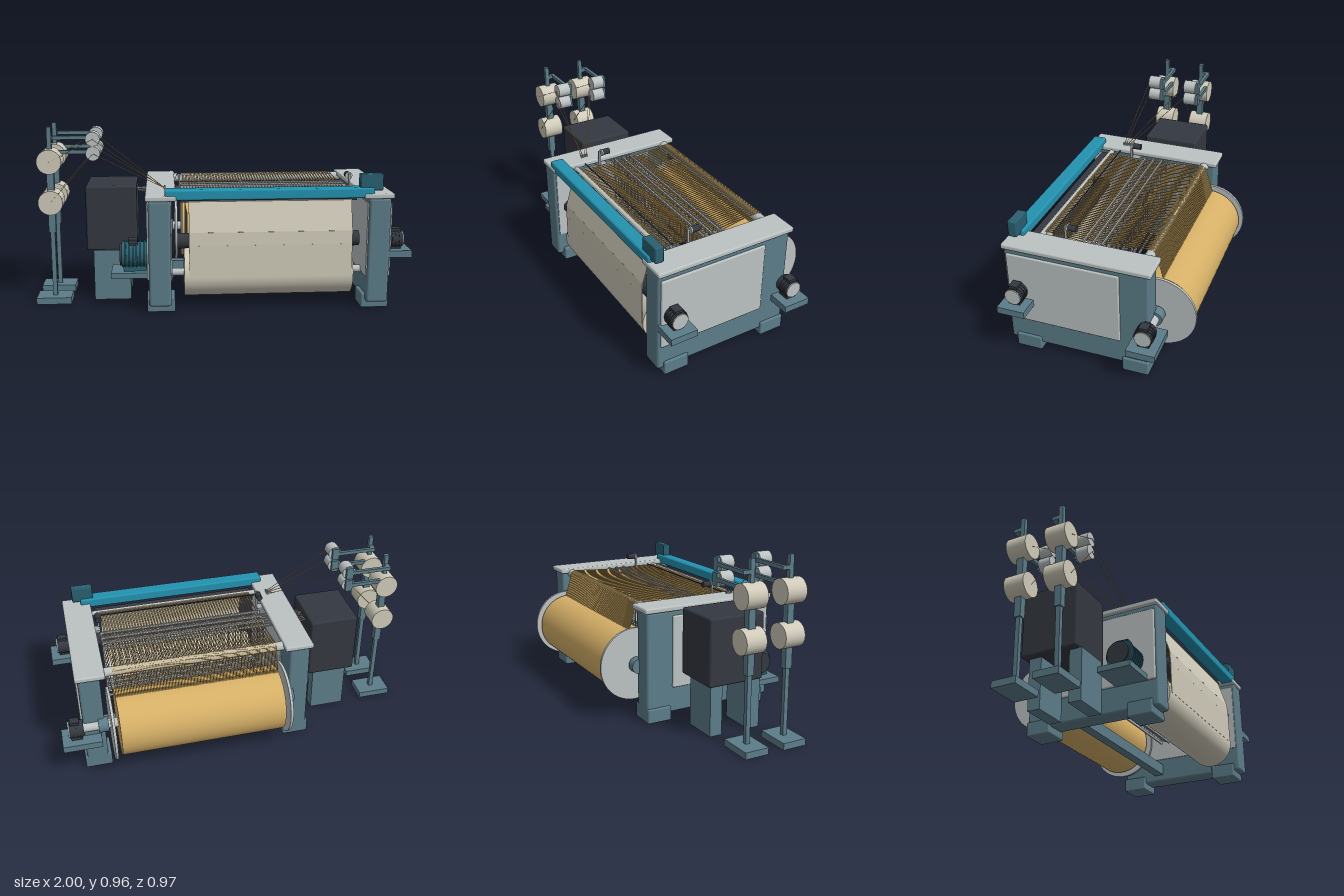
import * as THREE from 'three';
import { mergeGeometries } from 'three/addons/utils/BufferGeometryUtils.js';
import { RoundedBoxGeometry } from 'three/addons/geometries/RoundedBoxGeometry.js';

const V = (x, y, z) => new THREE.Vector3(x, y, z);

function mat(name, color) {
  const m = new THREE.MeshStandardMaterial({ color });
  m.name = name;
  return m;
}

// thin square bar between two points, w wide and t thick
function barGeometry(a, b, w, t = w) {
  const d = b.clone().sub(a);
  const g = new THREE.BoxGeometry(w, t, d.length());
  const o = new THREE.Object3D();
  o.lookAt(d);
  o.position.copy(a).add(b).multiplyScalar(0.5);
  o.updateMatrix();
  return g.applyMatrix4(o.matrix);
}

export function createModel() {
  const root = new THREE.Group();
  root.name = 'weavingLoom';
  const frameBlue = mat('frame blue grey', 0x5c7d89);
  const lightGrey = mat('light grey', 0xbcc2c2);
  const cream = mat('cream cloth', 0xcfcab9);
  const gold = mat('gold yarn', 0xd6b067);
  const blue = mat('bright blue', 0x2392b0);
  const darkTeal = mat('dark teal', 0x2a6070);
  const charcoal = mat('charcoal', 0x343840);
  const steel = mat('steel', 0xa6aaae);

  const add = (name, geo, m, parent = root) => {
    const mesh = new THREE.Mesh(geo, m);
    mesh.name = name;
    parent.add(mesh);
    return mesh;
  };
  // box given by its extents on each axis, optionally rounded
  const box = (name, m, [x0, x1], [y0, y1], [z0, z1], r = 0) => {
    const s = [x1 - x0, y1 - y0, z1 - z0];
    const mesh = add(name, r ? new RoundedBoxGeometry(...s, 2, r) : new THREE.BoxGeometry(...s), m);
    mesh.position.set((x0 + x1) / 2, (y0 + y1) / 2, (z0 + z1) / 2);
    return mesh;
  };
  // cylinder along x from x0 to x1
  const rodX = (name, m, x0, x1, y, z, r, n = 32) => {
    const mesh = add(name, new THREE.CylinderGeometry(r, r, x1 - x0, n).rotateZ(Math.PI / 2), m);
    mesh.position.set((x0 + x1) / 2, y, z);
    return mesh;
  };
  // cylinder along z from z0 to z1
  const rodZ = (name, m, x, y, z0, z1, r, n = 32) => {
    const mesh = add(name, new THREE.CylinderGeometry(r, r, z1 - z0, n).rotateX(Math.PI / 2), m);
    mesh.position.set(x, y, (z0 + z1) / 2);
    return mesh;
  };

  // side frames with feet, caps and cover panels, mirrored about the loom centre
  const mid = 0.247;
  for (const s of [-1, 1]) {
    const span = (a, b) => (s > 0 ? [mid + a, mid + b] : [mid - b, mid - a]);
    box('sideFrame', frameBlue, span(0.517, 0.633), [0.04, 0.605], [-0.29, 0.475], 0.014);
    box('sideCap', lightGrey, span(0.488, 0.648), [0.603, 0.632], [-0.305, 0.48], 0.009);
    box('sidePanel', lightGrey, span(0.626, 0.643), [0.18, 0.577], [-0.14, 0.46], 0.008);
    box('innerPanel', lightGrey, span(0.511, 0.52), [0.18, 0.577], [-0.14, 0.46]);
    for (const z of [[0.30, 0.44], [-0.29, -0.15]])
      box('frameFoot', frameBlue, span(0.497, 0.645), [0, 0.08], z, 0.008);
    // small temple motor beside the warp
    const tx = mid + s * 0.466;
    rodZ('templeMotor', charcoal, tx, 0.678, 0.145, 0.19, 0.017, 20);
    rodZ('templeMotorFace', lightGrey, tx, 0.678, 0.19, 0.196, 0.02, 20);
    box('templePost', steel, [tx - 0.005, tx + 0.005], [0.58, 0.69], [0.2, 0.212]);
    box('templeArm', steel, span(0.46, 0.52), [0.585, 0.6], [0.16, 0.21]);
  }

  // cross beams and breast parts
  box('lowerCrossBeam', frameBlue, [-0.27, 0.77], [0.08, 0.145], [-0.085, -0.03]);
  box('frontRail', blue, [-0.30, 0.79], [0.607, 0.662], [0.4, 0.475], 0.01);
  box('controlBox', darkTeal, [0.715, 0.835], [0.645, 0.732], [0.415, 0.463], 0.006);
  box('breastBeam', charcoal, [-0.22, 0.715], [0.582, 0.604], [0.352, 0.395]);
  rodX('breastRoller', lightGrey, -0.25, 0.745, 0.602, 0.342, 0.014, 20);
  rodX('backRestRoller', lightGrey, -0.26, 0.755, 0.602, -0.235, 0.025);
  rodX('reedRod', charcoal, -0.24, 0.7, 0.618, 0.286, 0.004, 8);

  // warp beam with flanges, shaft and bearings
  const wy = 0.295, wz = -0.288;
  rodX('warpBeam', gold, -0.205, 0.695, wy, wz, 0.18, 64);
  rodX('warpFlange', lightGrey, -0.24, -0.225, wy, wz, 0.2, 64);
  rodX('warpFlange', lightGrey, 0.72, 0.735, wy, wz, 0.2, 64);
  rodX('warpShaft', lightGrey, -0.28, 0.9, wy, wz, 0.027);
  rodX('warpBearing', frameBlue, -0.295, -0.25, wy, wz, 0.042);
  rodX('warpBearing', frameBlue, 0.745, 0.8, wy, wz, 0.042);

  // take-up roller, cloth sheet and cloth roll
  rodX('takeUpRoller', charcoal, -0.235, 0.725, 0.378, 0.4, 0.04);
  rodX('clothRoll', cream, -0.2, 0.695, 0.186, 0.325, 0.126, 64);
  rodX('clothRollShaft', lightGrey, -0.28, 0.77, 0.186, 0.325, 0.02);
  const clothPath = [[0.612, 0.335], [0.585, 0.398], [0.43, 0.445], [0.36, 0.449], [0.19, 0.45]];
  const clothGeos = clothPath.slice(1).map(([y, z], i) =>
    barGeometry(V(0.255, clothPath[i][0], clothPath[i][1]), V(0.255, y, z), 0.86, 0.004));
  add('clothSheet', mergeGeometries(clothGeos), cream);

  // warp threads, alternately raised and lowered at the harness
  const threads = [];
  const count = 112;
  for (let i = 0; i < count; i++) {
    const x = -0.2 + 0.89 * i / (count - 1);
    const shed = i % 2 ? 0.612 : 0.58;
    const path = [[0.473, -0.3], [0.618, -0.258], [0.629, -0.235], [shed, 0.05], [0.612, 0.335]];
    for (let k = 1; k < path.length; k++)
      threads.push(barGeometry(V(x, ...path[k - 1]), V(x, ...path[k]), 0.0036, 0.003));
  }
  add('warpThreads', mergeGeometries(threads), gold);

  // harness frames with heddle wires and drive links to the dobby
  for (let f = 0; f < 6; f++) {
    const z = -0.012 + f * 0.025, lift = f % 2 ? 0.012 : 0;
    const parts = [];
    for (const y of [0.6, 0.27])
      parts.push(barGeometry(V(-0.21, y + lift, z), V(0.715, y + lift, z), 0.009, 0.014));
    for (const x of [-0.205, 0.71])
      parts.push(barGeometry(V(x, 0.27 + lift, z), V(x, 0.6 + lift, z), 0.009));
    for (let h = 0; h < 24; h++) {
      const x = -0.185 + h * 0.038 + f * 0.002;
      parts.push(barGeometry(V(x, 0.27 + lift, z), V(x, 0.6 + lift, z), 0.002));
    }
    parts.push(barGeometry(V(-0.21, 0.59, z), V(-0.41, 0.59, z), 0.006));
    parts.push(barGeometry(V(-0.41, 0.59, z), V(-0.455, 0.59, 0.04 + (z - 0.05) * 0.6), 0.006));
    add('harnessFrame', mergeGeometries(parts), steel);
  }

  // dobby box on two legs
  box('dobbyBox', charcoal, [-0.727, -0.45], [0.278, 0.636], [-0.12, 0.2], 0.012);
  for (const z of [[-0.09, -0.02], [0.14, 0.21]])
    box('dobbyLeg', frameBlue, [-0.69, -0.49], [0, 0.28], z);

  // main drive motor with cooling ribs
  box('driveBracket', frameBlue, [-0.585, -0.37], [0.18, 0.21], [0.235, 0.415]);
  rodX('driveMotor', darkTeal, -0.53, -0.385, 0.288, 0.325, 0.068);
  for (let i = 0; i < 6; i++)
    rodX('motorRib', darkTeal, -0.515 + i * 0.02, -0.507 + i * 0.02, 0.288, 0.325, 0.077);
  rodX('motorFanCover', charcoal, -0.54, -0.53, 0.288, 0.325, 0.06);
  rodX('motorShaft', steel, -0.39, -0.35, 0.288, 0.325, 0.02);
  box('motorTerminalBox', charcoal, [-0.495, -0.445], [0.345, 0.375], [0.29, 0.36]);
  box('motorMount', darkTeal, [-0.52, -0.4], [0.208, 0.24], [0.27, 0.38]);

  // servo motors on shelves at the left side of the loom
  for (const [y, z, sy, z0, z1, x0] of [[0.373, 0.4, 0.285, 0.325, 0.473, 0.87], [0.293, -0.285, 0.2, -0.36, -0.21, 0.79]]) {
    box('servoShelf', frameBlue, [x0, 1], [sy, sy + 0.037], [z0, z1]);
    rodX('servoBody', charcoal, 0.88, 0.957, y, z, 0.047, 24);
    for (let i = 0; i < 3; i++)
      rodX('servoRib', charcoal, 0.9 + i * 0.018, 0.907 + i * 0.018, y, z, 0.051, 24);
    rodX('servoFace', lightGrey, 0.957, 0.963, y, z, 0.043, 24);
    box('servoTerminalBox', charcoal, [0.9, 0.95], [y + 0.035, y + 0.058], [z - 0.023, z + 0.023]);
    box('servoFoot', charcoal, [0.89, 0.95], [sy + 0.03, y], [z - 0.03, z + 0.03]);
  }

  // yarn stands: base, pole, two spools, two feeders and their yarns
  const px = -0.905;
  for (const [zc, ze] of [[0.21, 0.282], [-0.015, 0.262]]) {
    box('standBase', frameBlue, [-1, -0.812], [0, 0.036], [zc - 0.068, zc + 0.066]);
    box('standPole', frameBlue, [px - 0.012, px + 0.012], [0.03, 0.96], [zc - 0.012, zc + 0.012]);
    box('poleSleeve', frameBlue, [px - 0.019, px + 0.019], [0.39, 0.73], [zc - 0.019, zc + 0.019]);
    [[0.78, 0.897], [0.56, 0.82]].forEach(([ys, yf], i) => {
      rodZ('yarnSpool', cream, px, ys, zc - 0.057, zc + 0.057, 0.065, 40);
      box('feederArm', frameBlue, [px - 0.012, -0.675], [yf - 0.01, yf + 0.01], [zc - 0.052, zc - 0.034]);
      box('armLink', frameBlue, [px - 0.012, px + 0.012], [yf - 0.01, yf + 0.01], [zc - 0.04, zc]);
      box('feederMount', frameBlue, [-0.695, -0.655], [yf - 0.034, yf + 0.034], [zc - 0.053, zc - 0.034]);
      rodZ('feederBody', lightGrey, -0.675, yf, zc - 0.036, zc + 0.036, 0.038, 28);
      const a = V(px, ys, zc + 0.06), b = V(-0.675, yf, zc + 0.042);
      const c = V(-0.3, 0.637, ze - i * 0.012);
      add('feedYarn', mergeGeometries([barGeometry(a, b, 0.0025), barGeometry(b, c, 0.0025)]), gold);
    });
    // insertion nozzles on the cap
    for (const dz of [0, -0.012])
      box('yarnNozzle', steel, [-0.302, -0.294], [0.625, 0.648], [ze + dz - 0.003, ze + dz + 0.003]);
  }
  return root;
}
